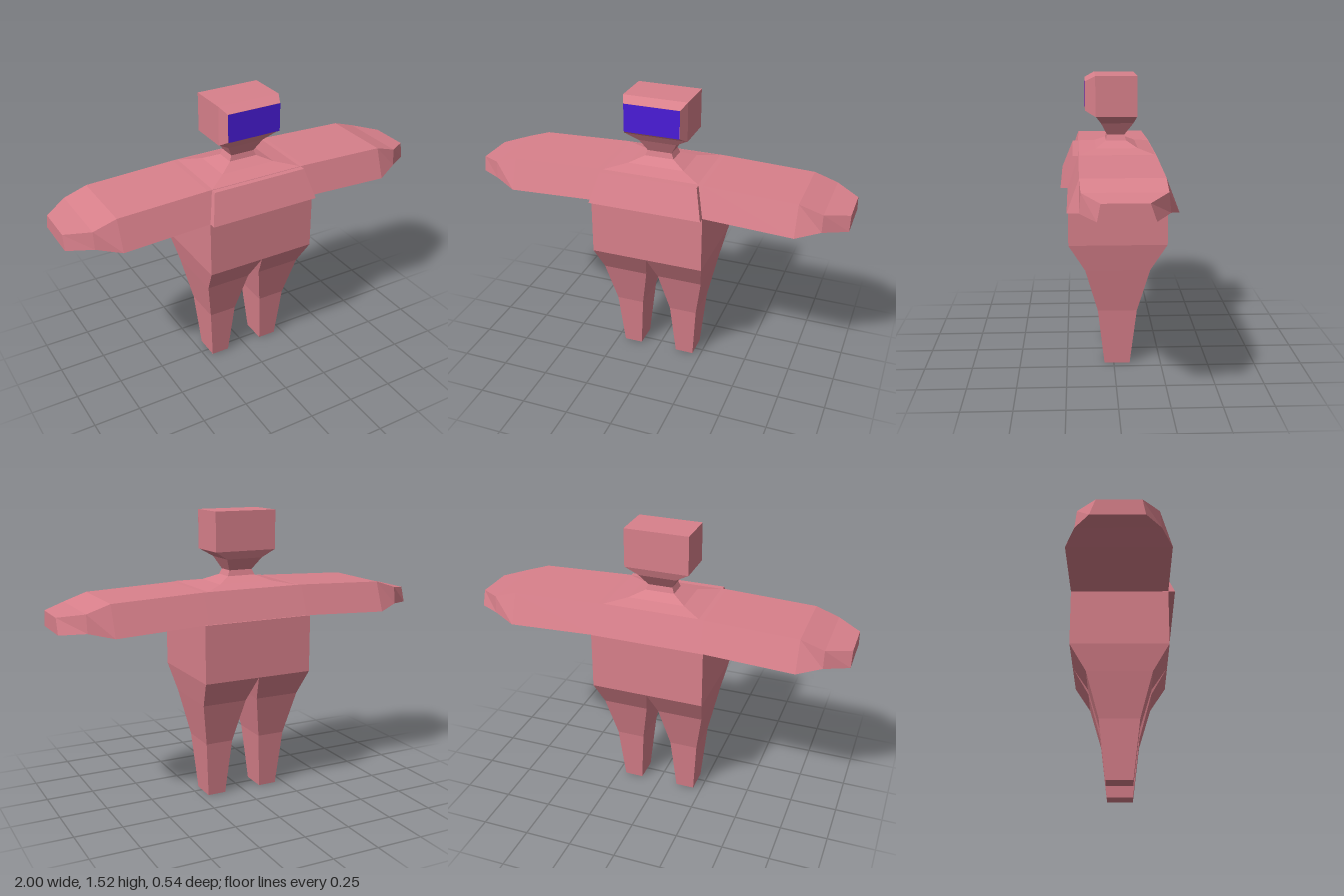
import * as THREE from 'three';

const skin = new THREE.MeshStandardMaterial({ color: 0xd8808b, flatShading: true });
const blue = new THREE.MeshStandardMaterial({ color: 0x4a1cd8, flatShading: true });

// Joins four-cornered rings (counter-clockwise seen from the far end) into a closed solid.
function loft(name, rings) {
  const pos = [];
  const quad = (a, b, c, d) => pos.push(...a, ...b, ...c, ...a, ...c, ...d);
  for (let r = 0; r < rings.length - 1; r++) {
    const a = rings[r], b = rings[r + 1];
    for (let i = 0; i < 4; i++) {
      const j = (i + 1) % 4;
      quad(a[i], a[j], b[j], b[i]);
    }
  }
  quad(...[...rings[0]].reverse());
  quad(...rings[rings.length - 1]);
  const geo = new THREE.BufferGeometry();
  geo.setAttribute('position', new THREE.Float32BufferAttribute(pos, 3));
  geo.computeVertexNormals();
  const mesh = new THREE.Mesh(geo, skin);
  mesh.name = name;
  return mesh;
}

// Rectangular rings across y and across z
const ringY = (y, x0, x1, z0, z1) => [[x0, y, z1], [x1, y, z1], [x1, y, z0], [x0, y, z0]];
const ringZ = (z, w, y0, y1) => [[-w, y0, z], [w, y0, z], [w, y1, z], [-w, y1, z]];
// Trapezoid ring across x: bottom y, back, front, then top y, back, front
const ringX = (x, yb, bb, bf, yt, tb, tf) => [[x, yb, bf], [x, yb, bb], [x, yt, tb], [x, yt, tf]];

export function createModel() {
  const model = new THREE.Group();
  model.name = 'figure';

  // Torso block
  model.add(loft('torso', [
    ringY(0.68, -0.3, 0.3, -0.27, 0.235),
    ringY(0.98, -0.3, 0.3, -0.27, 0.235),
  ]));

  // Tapering legs
  const legSections = [
    [0, 0.105, 0.205, -0.085, 0.05],
    [0.305, 0.08, 0.23, -0.12, 0.085],
    [0.54, 0.033, 0.275, -0.185, 0.15],
    [0.68, 0, 0.3, -0.27, 0.235],
  ];
  model.add(loft('leftLeg', legSections.map(s => ringY(...s))));
  model.add(loft('rightLeg', legSections.map(([y, a, b, z0, z1]) => ringY(y, -b, -a, z0, z1))));

  // Outstretched arms, one beam through the shoulders
  const armSections = [
    [0.28, 0.982, -0.27, 0.235, 1.135, -0.21, 0.18],
    [0.76, 0.96, -0.27, 0.235, 1.117, -0.21, 0.178],
    [0.88, 0.987, -0.22, 0.18, 1.078, -0.21, 0.172],
    [1, 0.977, -0.148, 0.105, 1.057, -0.12, 0.09],
  ];
  model.add(loft('arms', [
    ...[...armSections].reverse().map(([x, ...s]) => ringX(-x, ...s)),
    ...armSections.map(s => ringX(...s)),
  ]));

  // Sloping chest plate
  model.add(loft('chestPlate', [
    ringY(0.98, -0.3, 0.3, 0.2, 0.27),
    ringY(1.133, -0.26, 0.26, 0.15, 0.21),
  ]));

  // Flared neck
  const neckSections = [
    [1.134, 0.26, -0.21, 0.18],
    [1.153, 0.15, -0.125, 0.09],
    [1.183, 0.077, -0.068, 0.036],
    [1.212, 0.065, -0.06, 0.03],
    [1.275, 0.1, -0.105, 0.062],
    [1.317, 0.17, -0.12, 0.09],
  ];
  model.add(loft('neck', neckSections.map(([y, w, z0, z1]) => ringY(y, -w, w, z0, z1))));

  // Boxy head with a bevelled front
  model.add(loft('head', [
    ringZ(-0.12, 0.17, 1.316, 1.52),
    ringZ(0.092, 0.17, 1.316, 1.52),
    ringZ(0.144, 0.147, 1.346, 1.493),
  ]));

  // Face screen
  const screen = new THREE.Mesh(new THREE.PlaneGeometry(0.294, 0.147), blue);
  screen.name = 'faceScreen';
  screen.position.set(0, 1.4195, 0.146);
  model.add(screen);

  return model;
}
